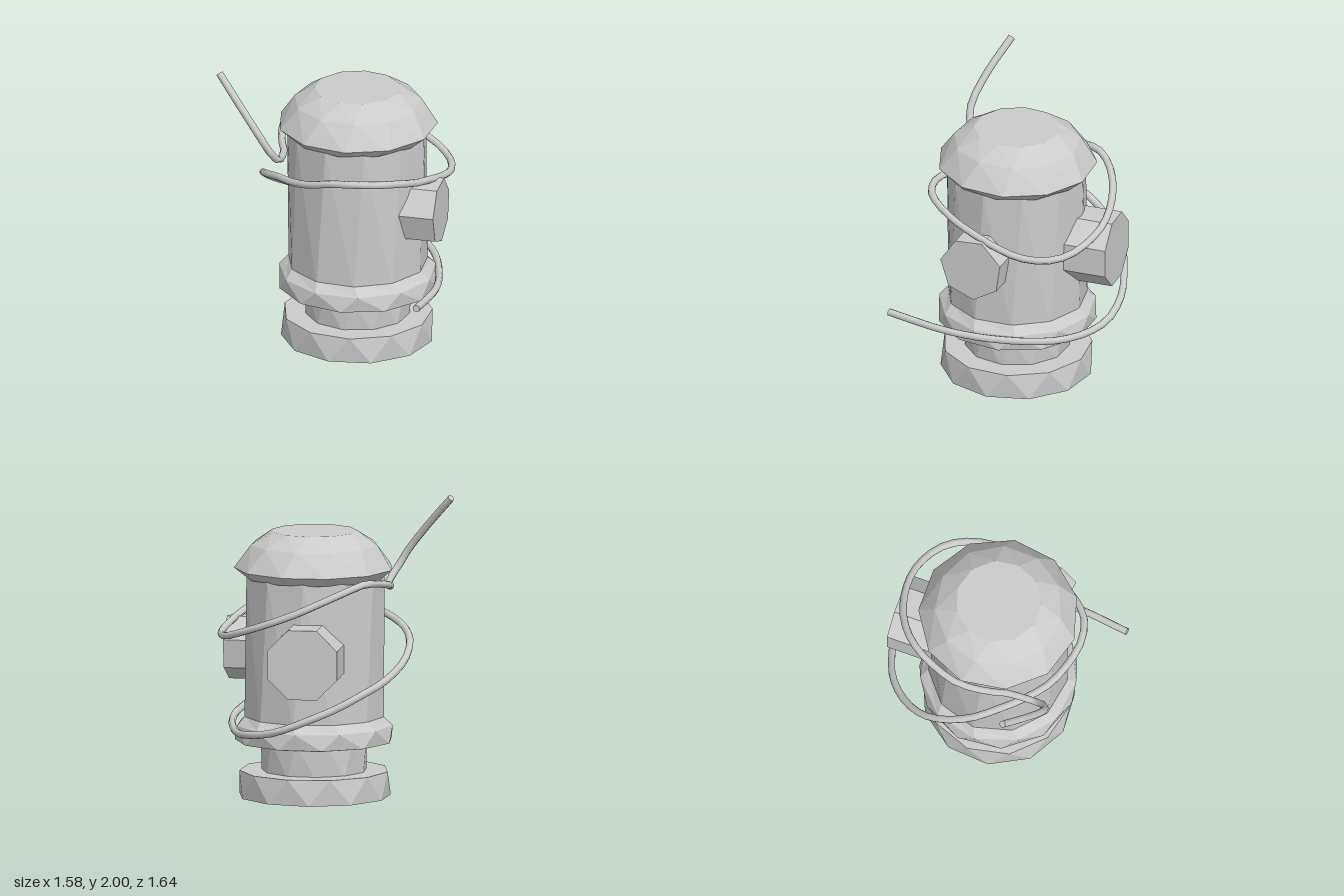
import * as THREE from 'three';

const SIDES = 11;
const STEP = (Math.PI * 2) / SIDES;
const CX = 0.04, CZ = -0.07; // hydrant axis

const material = new THREE.MeshStandardMaterial({ color: 0xcccccc, flatShading: true });
const smooth = new THREE.MeshStandardMaterial({ color: 0xcccccc });

function add(parent, name, geometry, mat = material) {
  const mesh = new THREE.Mesh(geometry, mat);
  mesh.name = name;
  parent.add(mesh);
  return mesh;
}

// Closed faceted loft; each ring is [y, radius, twist in steps], bottom to top
function loft(rings) {
  const pos = [], index = [];
  for (const [y, r, twist] of rings) {
    for (let i = 0; i < SIDES; i++) {
      const a = (i + twist) * STEP;
      pos.push(CX + r * Math.sin(a), y, CZ + r * Math.cos(a));
    }
  }
  for (let k = 0; k < rings.length - 1; k++) {
    for (let i = 0; i < SIDES; i++) {
      const j = (i + 1) % SIDES;
      const a = k * SIDES + i, b = k * SIDES + j, c = a + SIDES, d = b + SIDES;
      index.push(a, b, c, b, d, c);
    }
  }
  const top = (rings.length - 1) * SIDES;
  for (let i = 1; i < SIDES - 1; i++) {
    index.push(0, i + 1, i);
    index.push(top, top + i, top + i + 1);
  }
  const g = new THREE.BufferGeometry();
  g.setAttribute('position', new THREE.Float32BufferAttribute(pos, 3));
  g.setIndex(index);
  g.computeVertexNormals();
  return g;
}

// Side outlet: faceted stub whose outer face is centred on (x, y, z), pointing along angle
function outlet(parent, name, sides, radius, length, roll, [x, y, z], angle) {
  const g = new THREE.CylinderGeometry(radius, radius, length, sides);
  g.rotateY(roll);
  g.rotateX(Math.PI / 2);
  g.translate(0, 0, -length / 2);
  const mesh = add(parent, name, g);
  mesh.position.set(x, y, z);
  mesh.rotation.y = angle;
}

export function createModel() {
  const model = new THREE.Group();
  model.name = 'hydrantWithRope';

  // Stacked barrel parts
  add(model, 'base', loft([[0, 0.515, 0], [0.175, 0.505, 0.5]]));
  add(model, 'neck', loft([[0.15, 0.355, 0.2], [0.4, 0.36, 0.5]]));
  add(model, 'collar', loft([
    [0.355, 0.4, 0.3], [0.378, 0.535, 0.3], [0.485, 0.53, 0.7], [0.548, 0.47, 0.6],
  ]));
  add(model, 'barrel', loft([[0.5, 0.473, 0.6], [1.5, 0.473, 0.85]]));
  add(model, 'cap', loft([
    [1.49, 0.475, 0.2], [1.55, 0.54, 0.4], [1.71, 0.43, 0.6], [1.8, 0.29, 0.9],
  ]));

  // Two side outlets
  outlet(model, 'frontOutlet', 7, 0.225, 0.35, 0.08, [0.3, 0.99, 0.475], Math.atan2(0.54, 0.84));
  outlet(model, 'backOutlet', 8, 0.255, 0.45, Math.PI / 8, [0.59, 0.99, -0.51], Math.atan2(0.8, -0.6));

  // Rope winding round the barrel from the low front end to the raised end
  const path = [
    [-0.22, 0.53, 0.79], [0.12, 0.495, 0.6], [0.3, 0.475, 0.45], [0.45, 0.465, 0.29],
    [0.57, 0.465, 0.14], [0.65, 0.47, 0], [0.7, 0.49, -0.17], [0.69, 0.53, -0.36],
    [0.59, 0.61, -0.54], [0.42, 0.7, -0.68], [0.28, 0.78, -0.76], [0.1, 0.86, -0.8],
    [-0.1, 0.97, -0.78], [-0.25, 1.07, -0.69], [-0.36, 1.14, -0.54], [-0.42, 1.19, -0.36],
    [-0.46, 1.22, -0.18], [-0.475, 1.26, 0], [-0.44, 1.31, 0.17], [-0.36, 1.33, 0.33],
    [-0.23, 1.325, 0.44], [-0.08, 1.3, 0.47], [0.1, 1.25, 0.45], [0.26, 1.215, 0.41],
    [0.4, 1.18, 0.36], [0.56, 1.145, 0.28], [0.68, 1.135, 0.17], [0.75, 1.15, 0.04],
    [0.765, 1.19, -0.1], [0.71, 1.26, -0.3], [0.6, 1.33, -0.45], [0.45, 1.41, -0.57],
    [0.3, 1.47, -0.635], [0.16, 1.505, -0.655], [0.04, 1.5, -0.64], [-0.18, 1.46, -0.56],
    [-0.33, 1.42, -0.42], [-0.43, 1.405, -0.29], [-0.53, 1.41, -0.21], [-0.61, 1.43, -0.155],
    [-0.675, 1.5, -0.16], [-0.72, 1.6, -0.2], [-0.755, 1.78, -0.35], [-0.77, 1.985, -0.56],
  ].map((p) => new THREE.Vector3(...p));
  const curve = new THREE.CatmullRomCurve3(path);
  const rope = new THREE.Group();
  rope.name = 'rope';
  model.add(rope);
  add(rope, 'ropeStrand', new THREE.TubeGeometry(curve, 90, 0.025, 8), smooth);
  for (const t of [0, 1]) {
    const end = add(rope, t ? 'ropeTopEnd' : 'ropeLowEnd', new THREE.CircleGeometry(0.025, 8));
    end.position.copy(curve.getPointAt(t));
    const out = curve.getTangentAt(t).multiplyScalar(t ? 1 : -1);
    end.quaternion.setFromUnitVectors(new THREE.Vector3(0, 0, 1), out);
  }
  return model;
}
